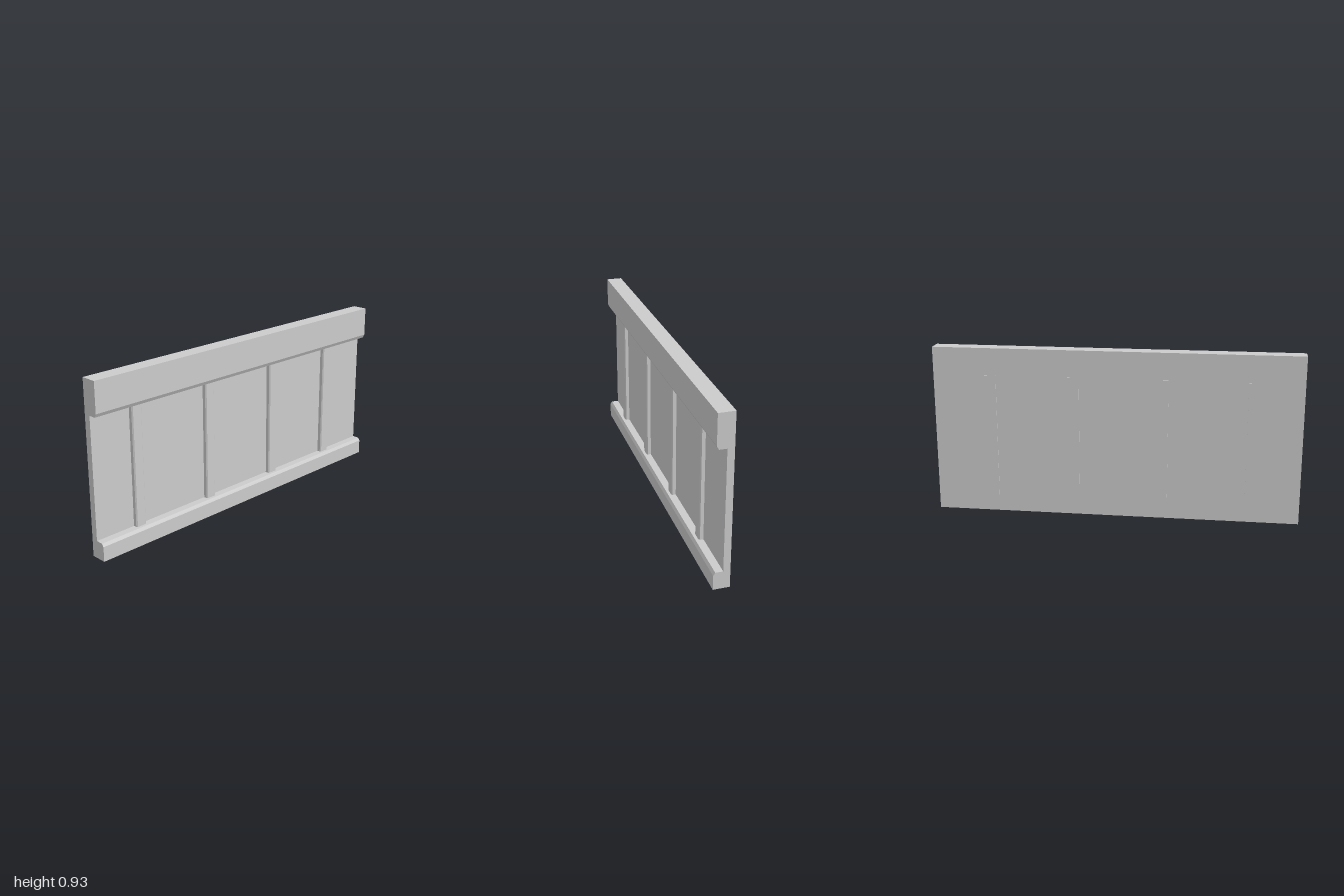
import * as THREE from 'three';

const material = new THREE.MeshStandardMaterial({ color: 0xcccccc, flatShading: true });

// Extrude a closed outline to the given depth, centred along the extrusion
function prism(name, points, depth) {
  const shape = new THREE.Shape(points.map(([a, b]) => new THREE.Vector2(a, b)));
  const geometry = new THREE.ExtrudeGeometry(shape, { depth, bevelEnabled: false });
  geometry.translate(0, 0, -depth / 2);
  const mesh = new THREE.Mesh(geometry, material);
  mesh.name = name;
  return mesh;
}

export function createModel() {
  const group = new THREE.Group();
  group.name = 'wallPanel';

  // Recessed board with a chamfered rail above and below: outline in (-z, y), run along x
  const body = prism('panelWithRails', [
    [0.041, 0], [0.041, 0.925], [-0.045, 0.925], [-0.045, 0.764], [-0.035, 0.745],
    [0.005, 0.745], [0.005, 0.095], [-0.035, 0.095], [-0.045, 0.079], [-0.045, 0],
  ], 2);
  body.rotation.y = Math.PI / 2;
  group.add(body);

  // Upright battens through the board, chamfered in front: outline in (x, -z), run along y
  const half = 0.031, chamfer = 0.006;
  for (const x of [-0.738, -0.254, 0.228, 0.684]) {
    const batten = prism('batten', [
      [-half, 0.045], [-half, -0.013], [-half + chamfer, -0.019],
      [half - chamfer, -0.019], [half, -0.013], [half, 0.045],
    ], 0.7);
    batten.rotation.x = -Math.PI / 2;
    batten.position.set(x, 0.426, 0);
    group.add(batten);
  }
  return group;
}
